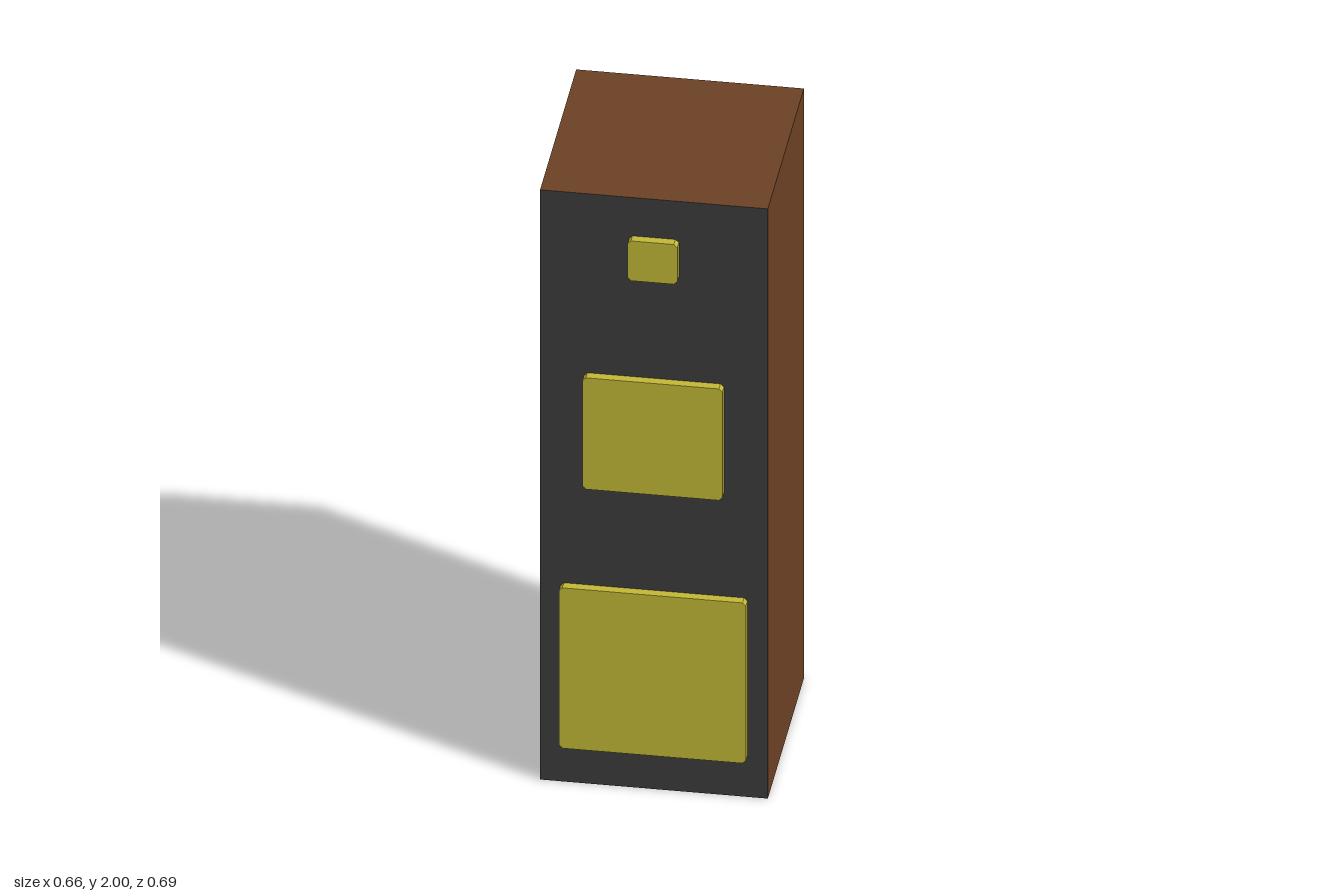
import * as THREE from 'three';

const mat = (name, color) => {
  const m = new THREE.MeshStandardMaterial({ color });
  m.name = name;
  return m;
};

// Rectangular plate with small cut corners, extruded toward +z
function plateGeometry(w, h, depth, cut) {
  const x = w / 2, y = h / 2;
  const shape = new THREE.Shape([
    [-x + cut, -y], [x - cut, -y], [x, -y + cut], [x, y - cut],
    [x - cut, y], [-x + cut, y], [-x, y - cut], [-x, -y + cut],
  ].map(([a, b]) => new THREE.Vector2(a, b)));
  return new THREE.ExtrudeGeometry(shape, { depth, bevelEnabled: false });
}

export function createModel() {
  const wood = mat('brown wood', 0x6c4124);
  const baffle = mat('charcoal front', 0x3b3b3b);
  const yellow = mat('yellow', 0xc3b836);
  const model = new THREE.Group();
  model.name = 'speakerCabinet';

  // Cabinet: wooden box with a charcoal front face (+z is group 4)
  const frontZ = 0.318, side = 0.664;
  const cabinet = new THREE.Mesh(
    new THREE.BoxGeometry(side, 2, side),
    [wood, wood, wood, wood, baffle, wood],
  );
  cabinet.name = 'cabinet';
  cabinet.position.set(0, 1, frontZ - side / 2);
  model.add(cabinet);

  // Square driver plates: name, width, bottom, top
  const plates = [
    ['tweeterPlate', 0.145, 1.735, 1.87],
    ['midrangePlate', 0.408, 1.015, 1.393],
    ['wooferPlate', 0.545, 0.13, 0.674],
  ];
  for (const [name, width, bottom, top] of plates) {
    const plate = new THREE.Mesh(plateGeometry(width, top - bottom, 0.028, 0.01), yellow);
    plate.name = name;
    plate.position.set(0, (bottom + top) / 2, frontZ);
    model.add(plate);
  }
  return model;
}
